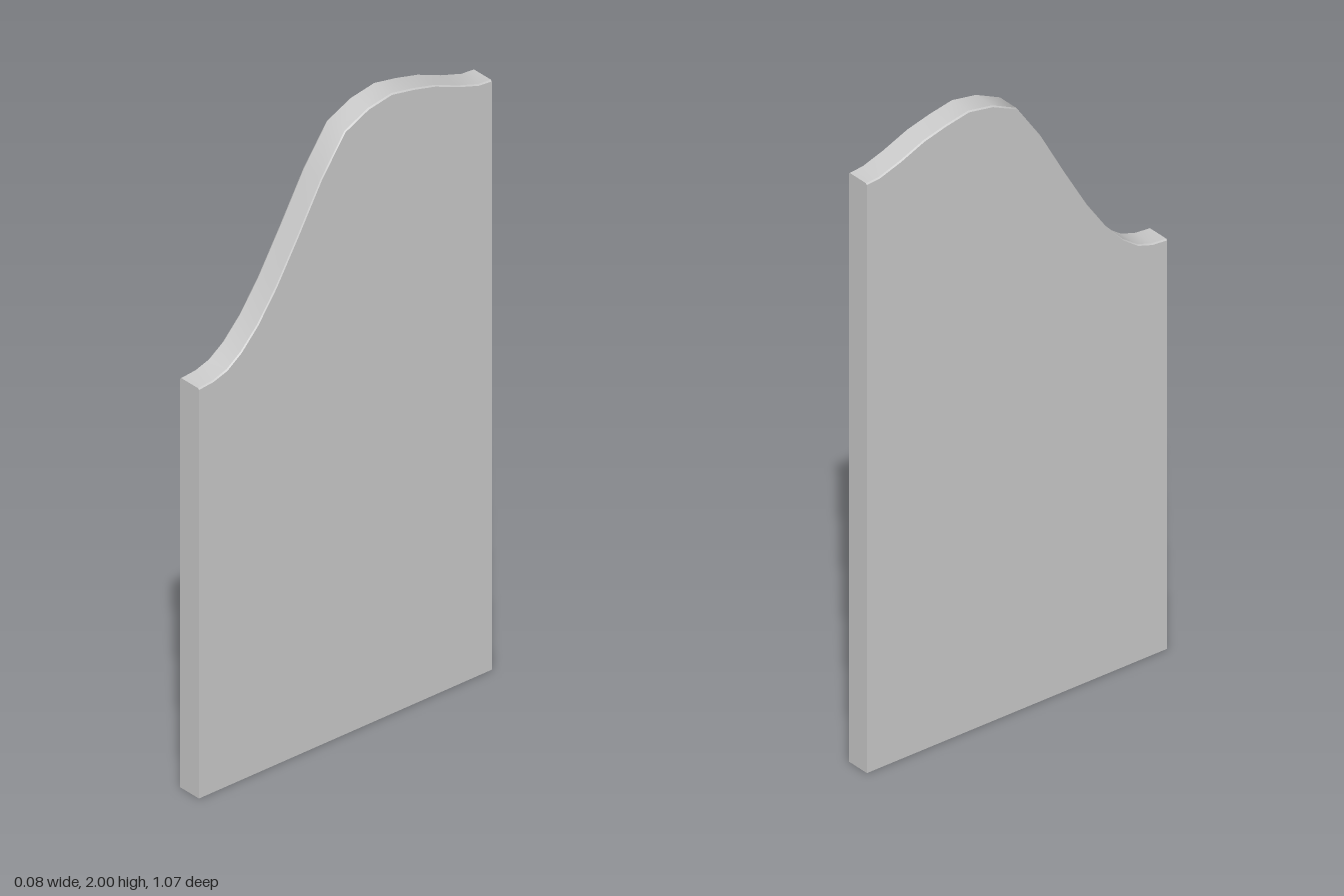
import * as THREE from 'three';
import { mergeGeometries } from 'three/addons/utils/BufferGeometryUtils.js';

const HALF = 0.04;    // half thickness
const BEVEL = 0.004;  // tiny eased edge along the curved top

// Curved top edge from front to back: [z, y]
const TOP = [
  [0.533, 1.322], [0.48, 1.327], [0.43, 1.343], [0.378, 1.38], [0.317, 1.445],
  [0.25, 1.54], [0.17, 1.675], [0.085, 1.825], [0, 1.945], [-0.085, 1.985],
  [-0.17, 2], [-0.25, 1.985], [-0.328, 1.965], [-0.413, 1.93], [-0.487, 1.906], [-0.533, 1.902],
];

// Cross-section at a given height, open at the bottom
const section = (y) => [
  [-HALF, 0], [-HALF, y - BEVEL], [-HALF + BEVEL, y],
  [HALF - BEVEL, y], [HALF, y - BEVEL], [HALF, 0],
];

// One lengthwise strip between section points k and k + 1, smooth along z
function strip(k) {
  const pos = [], uv = [], index = [];
  TOP.forEach(([z, y], i) => {
    const s = section(y);
    pos.push(...s[k], z, ...s[k + 1], z);
    uv.push(0, i / (TOP.length - 1), 1, i / (TOP.length - 1));
    if (i < TOP.length - 1) {
      const a = 2 * i;
      index.push(a, a + 1, a + 2, a + 1, a + 3, a + 2);
    }
  });
  const g = new THREE.BufferGeometry();
  g.setAttribute('position', new THREE.Float32BufferAttribute(pos, 3));
  g.setAttribute('uv', new THREE.Float32BufferAttribute(uv, 2));
  g.setIndex(index);
  g.computeVertexNormals();
  return g;
}

// Flat end face, facing +z
const endFace = (y) =>
  new THREE.ShapeGeometry(new THREE.Shape(section(y).map(([x, h]) => new THREE.Vector2(x, h))));

export function createModel() {
  const group = new THREE.Group();
  group.name = 'sidePanel';
  const material = new THREE.MeshStandardMaterial({ color: 0xcccccc, side: THREE.DoubleSide });
  const add = (name, geometry) => {
    const mesh = new THREE.Mesh(geometry, material);
    mesh.name = name;
    group.add(mesh);
  };

  // Side faces and curved top edge
  add('sideFaces', mergeGeometries([strip(0), strip(4)]));
  add('curvedTopEdge', mergeGeometries([strip(1), strip(2), strip(3)]));

  // Front and back edges
  const [frontZ, frontY] = TOP[0];
  const [backZ, backY] = TOP[TOP.length - 1];
  add('frontEdge', endFace(frontY).translate(0, 0, frontZ));
  add('backEdge', endFace(backY).rotateY(Math.PI).translate(0, 0, backZ));
  return group;
}
